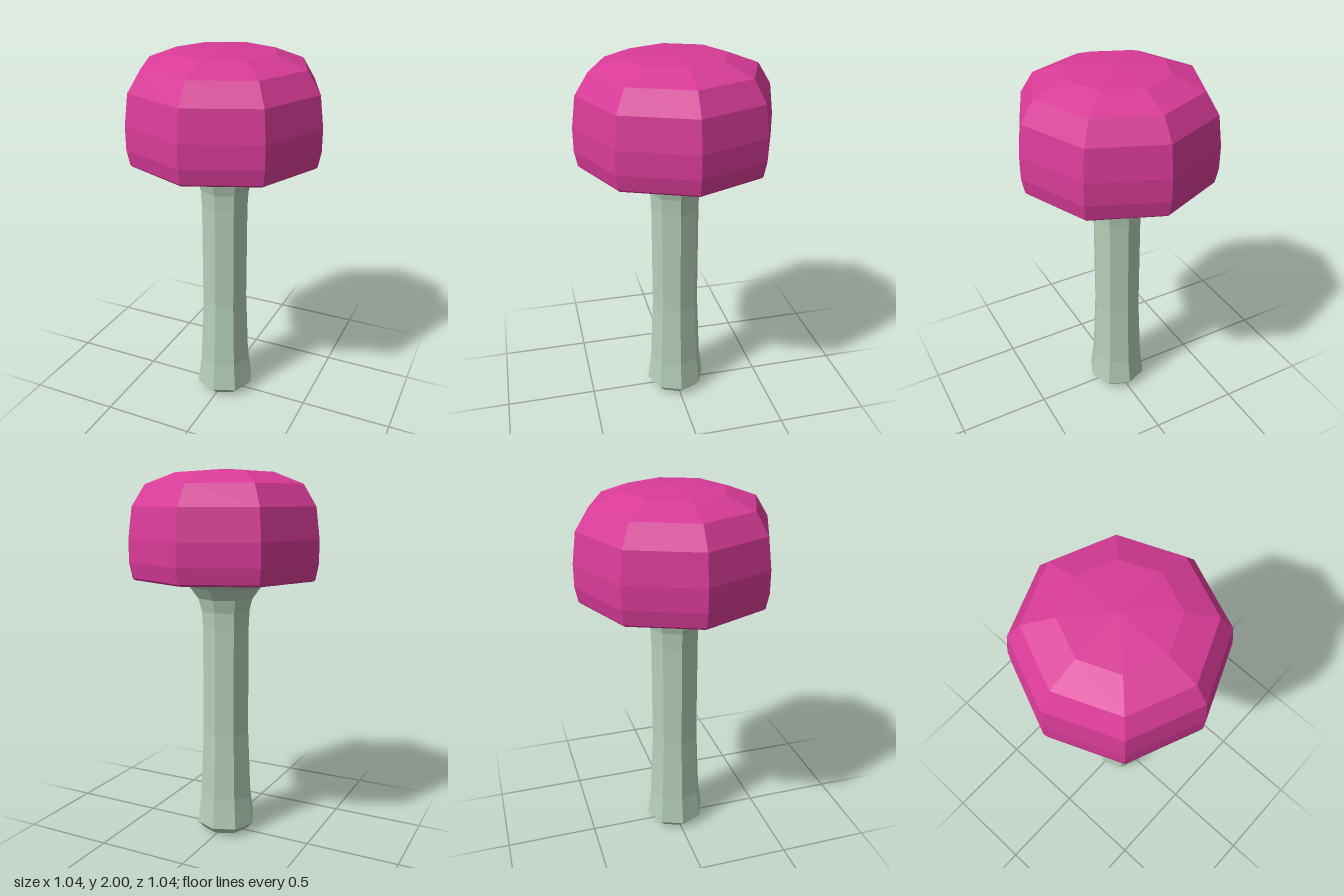
import * as THREE from 'three';

// Eight-sided turned part from a bottom-to-top [radius, height] profile
function turned(name, color, profile) {
  const points = profile.map(([r, y]) => new THREE.Vector2(r, y));
  const material = new THREE.MeshStandardMaterial({ color, flatShading: true });
  const mesh = new THREE.Mesh(new THREE.LatheGeometry(points, 8), material);
  mesh.name = name;
  return mesh;
}

export function createModel() {
  const group = new THREE.Group();
  group.name = 'mushroom';

  // Stem: chamfered foot, slight waist, flare under the cap
  group.add(turned('stem', 0xb5d0b9, [
    [0, 0], [0.13, 0.01], [0.167, 0.05], [0.147, 0.21], [0.131, 0.58],
    [0.131, 1.17], [0.136, 1.26], [0.155, 1.33], [0.2, 1.39],
    [0.28, 1.45], [0.29, 1.48], [0, 1.5],
  ]));

  // Cap: hollow underside, thin rim, rounded sides, shallow top
  group.add(turned('cap', 0xd93b98, [
    [0, 1.52], [0.26, 1.51], [0.41, 1.49], [0.47, 1.445], [0.495, 1.44],
    [0.505, 1.45], [0.521, 1.53], [0.521, 1.65], [0.5, 1.81],
    [0.43, 1.92], [0.27, 1.98], [0, 2],
  ]));

  return group;
}
